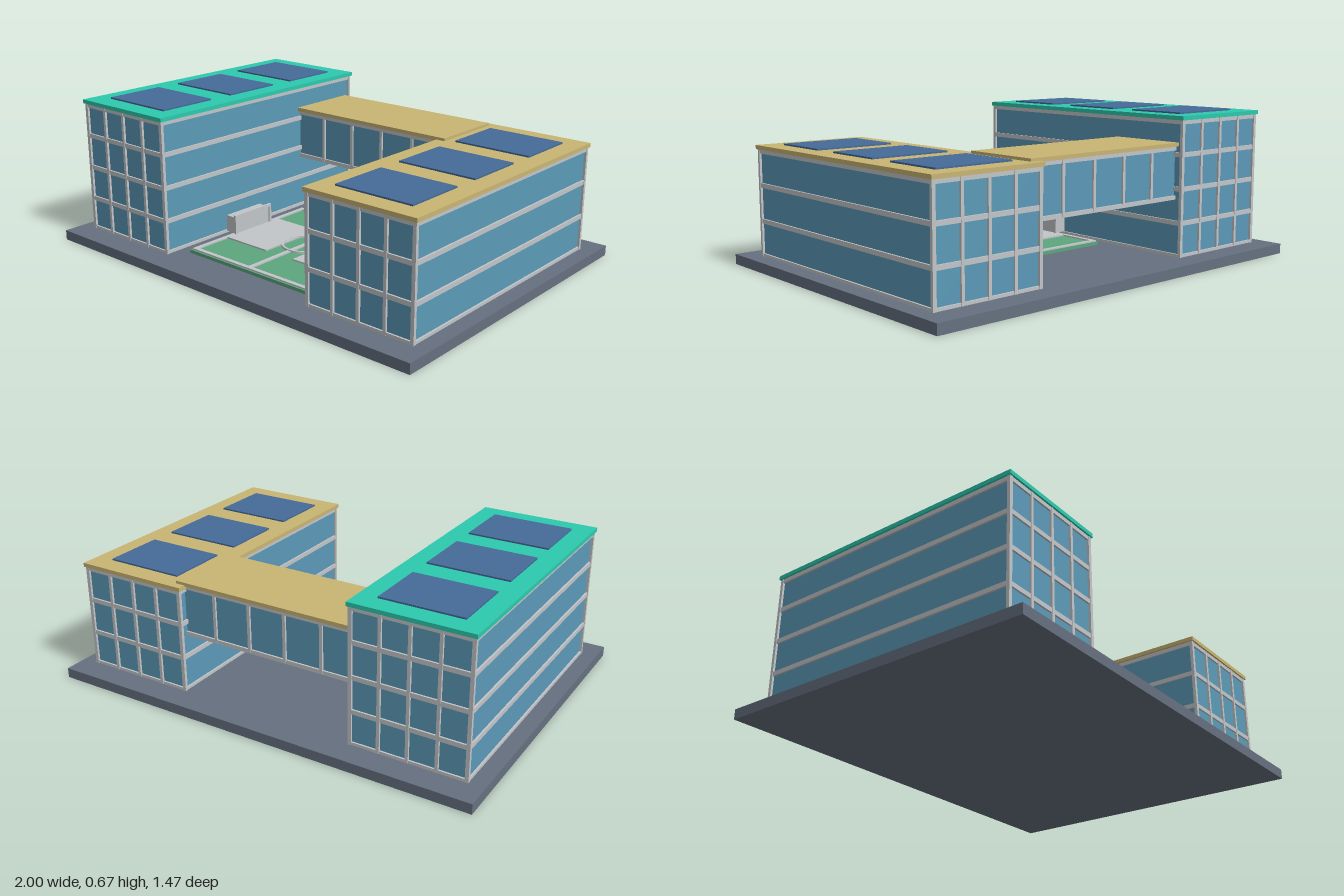
import * as THREE from 'three';

const paint = (name, color) => {
  const m = new THREE.MeshStandardMaterial({ color });
  m.name = name;
  return m;
};

export function createModel() {
  const slate = paint('slate', 0x667080);
  const glass = paint('glass', 0x5c9ab8);
  const trim = paint('lightGrey', 0xc3c6c9);
  const teal = paint('teal', 0x2dcaae);
  const sand = paint('sand', 0xc9b573);
  const panelBlue = paint('panelBlue', 0x456b99);
  const green = paint('green', 0x5ca67e);

  const group = (name, parent) => {
    const g = new THREE.Group();
    g.name = name;
    parent.add(g);
    return g;
  };
  // box given by its minimum and maximum on each axis
  const box = (parent, name, mat, [x0, x1], [y0, y1], [z0, z1]) => {
    const m = new THREE.Mesh(new THREE.BoxGeometry(x1 - x0, y1 - y0, z1 - z0), mat);
    m.position.set((x0 + x1) / 2, (y0 + y1) / 2, (z0 + z1) / 2);
    m.name = name;
    parent.add(m);
    return m;
  };

  const model = new THREE.Group();
  model.name = 'campus';
  const ground = 0.045;
  box(model, 'basePlate', slate, [-1, 1], [0, ground], [-0.735, 0.735]);

  // glass block with floor bands, mullions on both ends, roof and solar panels
  const building = (name, cx, floors, top, roofMat) => {
    const g = group(name, model);
    g.position.x = cx;
    const hw = 0.26, hd = 0.622;
    box(g, 'glassBody', glass, [-hw + 0.008, hw - 0.008], [ground, top], [-hd + 0.008, hd - 0.008]);
    const step = (top - ground) / floors;
    for (let i = 0; i <= floors; i++) {
      const y = ground + i * step;
      const lo = i === 0 ? y : i === floors ? y - 0.018 : y - 0.01;
      const hi = i === 0 ? y + 0.013 : i === floors ? y : y + 0.01;
      box(g, 'floorBand', trim, [-hw, hw], [lo, hi], [-hd, hd]);
    }
    for (const side of [-1, 1]) {
      for (let i = 0; i <= 4; i++) {
        const corner = i === 0 || i === 4;
        const x = (-hw + 0.006) + i * (2 * hw - 0.012) / 4;
        const z = side * (hd - 0.005);
        const r = corner ? 0.008 : 0.007;
        box(g, corner ? 'cornerPost' : 'mullion', trim, [x - r, x + r], [ground, top], [z - 0.007, z + 0.007]);
      }
    }
    box(g, 'roof', roofMat, [-0.268, 0.268], [top, top + 0.018], [-0.63, 0.63]);
    for (const z of [-0.4, 0, 0.4])
      box(g, 'solarPanel', panelBlue, [-0.182, 0.182], [top + 0.018, top + 0.025], [z - 0.14, z + 0.14]);
  };
  building('tallBuilding', -0.67, 4, 0.645, teal);
  building('lowBuilding', 0.67, 3, 0.517, sand);

  // raised bridge joining the two buildings
  const bridge = group('bridge', model);
  const span = [-0.434, 0.434], zb = -0.583, zf = -0.25;
  box(bridge, 'bridgeGlass', glass, span, [0.3, 0.525], [zb + 0.008, zf - 0.008]);
  box(bridge, 'bridgeFloor', trim, span, [0.297, 0.315], [zb, zf]);
  box(bridge, 'bridgeTopRail', trim, span, [0.512, 0.53], [zb, zf]);
  for (const z of [zb + 0.006, zf - 0.006])
    for (let i = 0; i <= 5; i++) {
      const x = -0.434 + i * 0.1736;
      box(bridge, 'bridgeMullion', trim, [x - 0.007, x + 0.007], [0.3, 0.528], [z - 0.007, z + 0.007]);
    }
  box(bridge, 'bridgeRoof', sand, [-0.445, 0.445], [0.53, 0.547], [-0.595, -0.24]);

  // sports pitch with raised white markings
  const pitch = group('pitch', model);
  const grass = 0.06, line = 0.066, zMid = 0.177;
  box(pitch, 'grass', green, [-0.348, 0.348], [ground, grass], [-0.187, 0.543]);
  for (const s of [-1, 1]) {
    const x = s * 0.332, z = zMid + s * 0.348;
    box(pitch, 'sideLine', trim, [x - 0.01, x + 0.01], [grass, line], [-0.181, 0.535]);
    box(pitch, 'endLine', trim, [-0.342, 0.342], [grass, line], [z - 0.01, z + 0.01]);
    const area = [0.08 * s, 0.325 * s].sort((a, b) => a - b);
    box(pitch, 'penaltyArea', trim, area, [grass, line + 0.001], [zMid - 0.164, zMid + 0.164]);
  }
  box(pitch, 'centreLine', trim, [-0.01, 0.01], [grass, line], [-0.175, 0.53]);

  const disc = new THREE.Shape().absarc(0, 0, 0.102, 0, Math.PI * 2);
  disc.holes.push(new THREE.Path().absarc(0, 0, 0.092, 0, Math.PI * 2, true));
  const circle = new THREE.Mesh(
    new THREE.ExtrudeGeometry(disc, { depth: 0.01, bevelEnabled: false, curveSegments: 32 }), trim);
  circle.name = 'centreCircle';
  circle.rotation.x = -Math.PI / 2;
  circle.position.set(0, grass, zMid);
  pitch.add(circle);

  // goals: front frame with a solid net box behind
  for (const s of [-1, 1]) {
    const goal = group(s < 0 ? 'rightGoal' : 'leftGoal', pitch);
    const at = (a, b) => [a * s, b * s].sort((p, q) => p - q);
    box(goal, 'net', trim, at(0.324, 0.386), [0.066, 0.142], [zMid - 0.106, zMid + 0.106]);
    for (const z of [zMid - 0.11, zMid + 0.11])
      box(goal, 'goalPost', trim, at(0.317, 0.329), [grass, 0.156], [z - 0.006, z + 0.006]);
    box(goal, 'crossbar', trim, at(0.317, 0.329), [0.143, 0.156], [zMid - 0.112, zMid + 0.112]);
  }
  return model;
}
